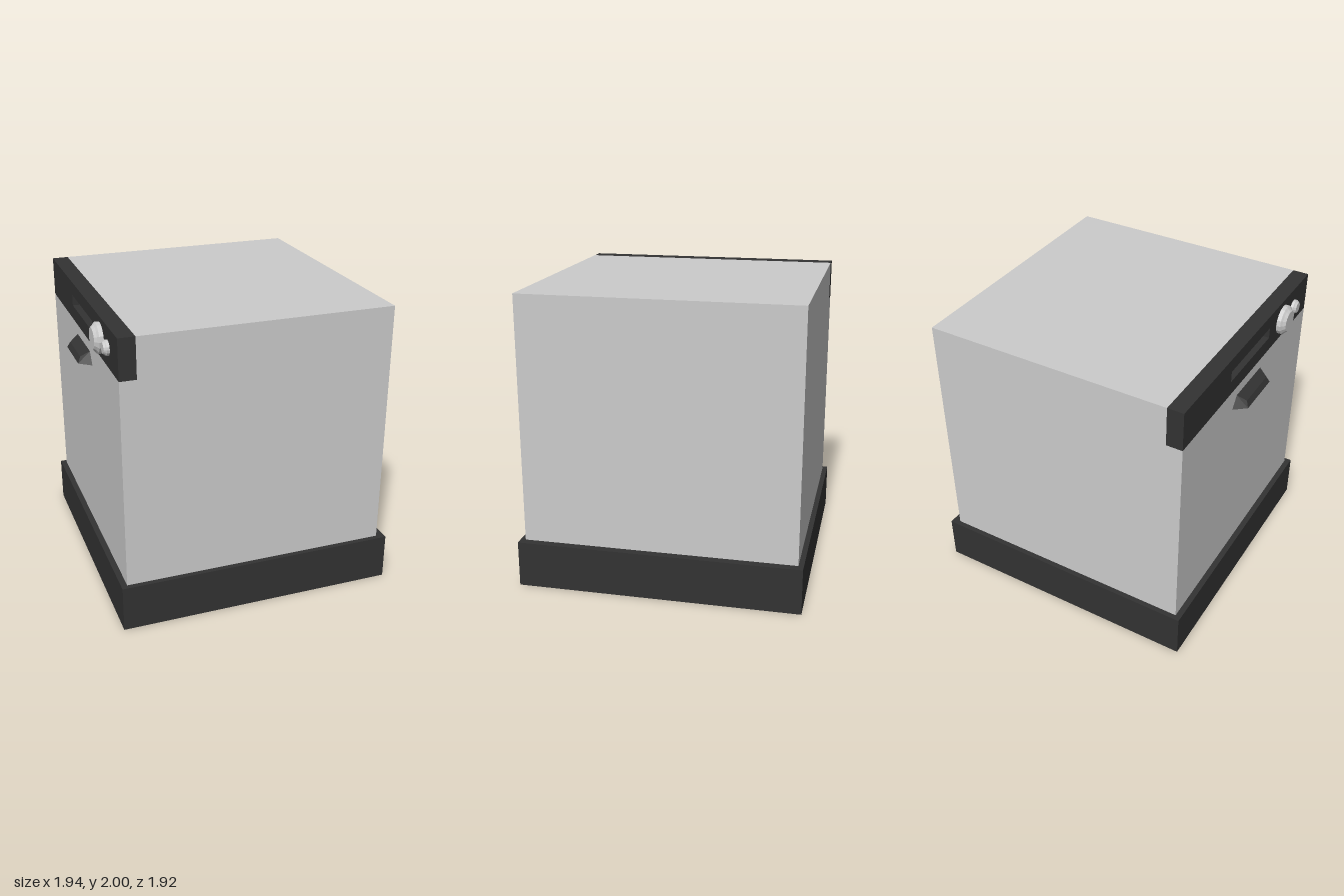
import * as THREE from 'three';
import { ConvexGeometry } from 'three/addons/geometries/ConvexGeometry.js';

const grey = new THREE.MeshStandardMaterial({ color: 0xcccccc, flatShading: true });
const dark = new THREE.MeshStandardMaterial({ color: 0x333333, flatShading: true });
const teal = new THREE.MeshStandardMaterial({ color: 0x008b8b, flatShading: true });

const FACE = -0.89; // x of the appliance's working face

function add(parent, name, geometry, material) {
  const mesh = new THREE.Mesh(geometry, material);
  mesh.name = name;
  parent.add(mesh);
  return mesh;
}

// Box given by its minimum and maximum corners
function box(parent, name, min, max, material) {
  const size = max.map((v, i) => v - min[i]);
  const mesh = add(parent, name, new THREE.BoxGeometry(...size), material);
  mesh.position.set(...max.map((v, i) => (v + min[i]) / 2));
  return mesh;
}

// Rectangle traced in a shape or a hole path
function rect(path, x0, y0, x1, y1) {
  return path.moveTo(x0, y0).lineTo(x1, y0).lineTo(x1, y1).lineTo(x0, y1).closePath();
}

// Dial turned around the x axis, with a chamfered rim
function dial(parent, name, y, z, radius, depth) {
  const profile = [
    [radius, 0], [radius, depth * 0.5], [radius * 0.86, depth * 0.7],
    [radius * 0.7, depth], [0, depth],
  ].map(([r, h]) => new THREE.Vector2(r, h));
  const mesh = add(parent, name, new THREE.LatheGeometry(profile, 16), grey);
  mesh.rotation.z = Math.PI / 2;
  mesh.position.set(FACE, y, z);
}

export function createModel() {
  const group = new THREE.Group();
  group.name = 'dishwasher';

  // Plinth, wider than the cabinet on every side
  box(group, 'base', [-0.93, 0, -0.96], [0.97, 0.315, 0.96], dark);

  // Cabinet with a step cut out for the control panel
  const outline = new THREE.Shape();
  [[FACE, 0.315], [0.915, 0.315], [0.915, 2], [-0.78, 2], [-0.78, 1.73], [FACE, 1.73]]
    .forEach(([x, y], i) => (i ? outline.lineTo(x, y) : outline.moveTo(x, y)));
  const cabinet = new THREE.ExtrudeGeometry(outline, { depth: 1.85, bevelEnabled: false });
  cabinet.translate(0, 0, -0.925);
  add(group, 'cabinet', cabinet, grey);

  // Control panel with a recessed window
  const face = rect(new THREE.Shape(), -0.925, 1.73, 0.925, 2);
  face.holes.push(rect(new THREE.Path(), -0.29, 1.83, 0.29, 1.905));
  const panel = new THREE.ExtrudeGeometry(face, { depth: 0.11, bevelEnabled: false });
  panel.rotateY(-Math.PI / 2);
  panel.translate(-0.78, 0, 0);
  add(group, 'controlPanel', panel, dark);
  box(group, 'display', [-0.84, 1.83, -0.29], [-0.78, 1.905, 0.29], teal);

  // Dials beside the window
  dial(group, 'largeDial', 1.863, 0.5, 0.1, 0.055);
  dial(group, 'smallDial', 1.863, 0.69, 0.05, 0.035);

  // Faceted door handle, tapering away from the door
  const corners = [];
  for (const side of [-1, 1]) {
    for (const [x, y, z] of [
      [FACE, 1.58, 0.235], [-0.97, 1.58, 0.17], [-0.95, 1.62, 0.15], [FACE, 1.66, 0.18],
    ]) corners.push(new THREE.Vector3(x, y, side * z));
  }
  add(group, 'doorHandle', new ConvexGeometry(corners), dark);

  return group;
}
